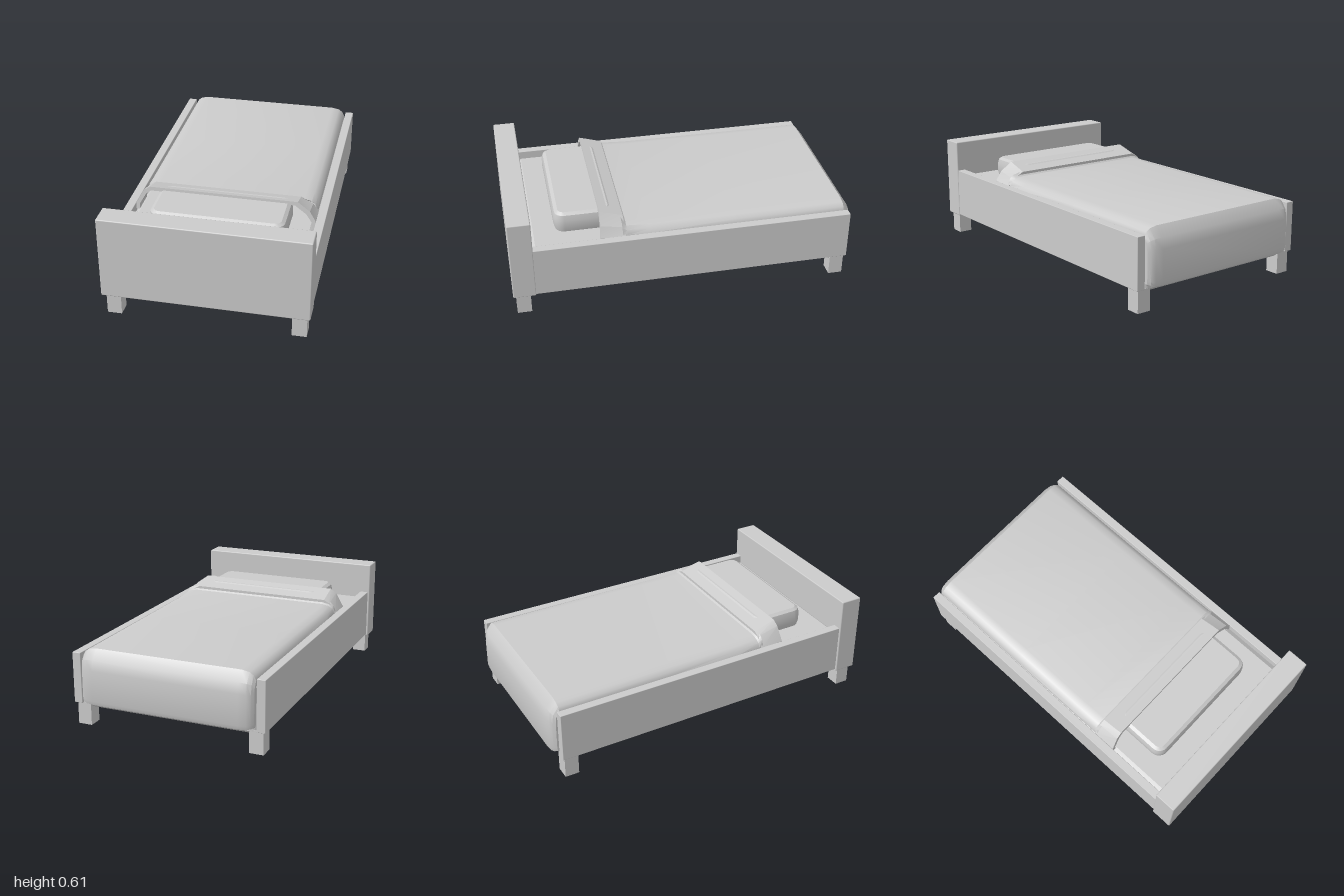
import * as THREE from 'three';
import { toCreasedNormals } from 'three/addons/utils/BufferGeometryUtils.js';
import { RoundedBoxGeometry } from 'three/addons/geometries/RoundedBoxGeometry.js';

const material = new THREE.MeshStandardMaterial({ color: 0xcccccc });
const clothMaterial = new THREE.MeshStandardMaterial({ color: 0xcccccc, side: THREE.DoubleSide });

function add(group, name, geometry, mat = material) {
  const mesh = new THREE.Mesh(geometry, mat);
  mesh.name = name;
  group.add(mesh);
  return mesh;
}

// Box given by its limits, with slightly rounded edges
function board(x0, x1, y0, y1, z0, z1, radius) {
  const g = new RoundedBoxGeometry(x1 - x0, y1 - y0, z1 - z0, 1, radius);
  return g.translate((x0 + x1) / 2, (y0 + y1) / 2, (z0 + z1) / 2);
}

// Cushion-like slab: rounded plan outline with chamfered top and bottom
function slab(halfWidth, z0, z1, y0, y1, corner, bevelSize, bevelThickness, segments) {
  const w = halfWidth - bevelSize, h = (z1 - z0) / 2 - bevelSize, r = corner;
  const s = new THREE.Shape();
  s.absarc(w - r, h - r, r, 0, Math.PI / 2);
  s.absarc(-w + r, h - r, r, Math.PI / 2, Math.PI);
  s.absarc(-w + r, -h + r, r, Math.PI, Math.PI * 1.5);
  s.absarc(w - r, -h + r, r, Math.PI * 1.5, Math.PI * 2);
  const g = new THREE.ExtrudeGeometry(s, {
    depth: y1 - y0 - 2 * bevelThickness, bevelEnabled: true,
    bevelSize, bevelThickness, bevelSegments: segments, curveSegments: 3,
  });
  g.rotateX(-Math.PI / 2).translate(0, y0 + bevelThickness, (z0 + z1) / 2);
  return toCreasedNormals(g, 0.5);
}

// Sheet lofted over the mattress and down the foot end, with rolled side edges
function blanketGeometry() {
  // each row: z, y on the crown, then z, y at the side hem
  const rows = [
    [0.36, 0.487, 0.36, 0.39], [0.335, 0.466, 0.335, 0.385], [0.2, 0.458, 0.2, 0.38],
    [-0.3, 0.457, -0.3, 0.375], [-0.942, 0.455, -0.94, 0.375], [-0.985, 0.4, -0.945, 0.36],
    [-0.997, 0.34, -0.945, 0.32], [-1, 0.165, -0.945, 0.18], [-0.992, 0.142, -0.945, 0.165],
    [-0.975, 0.14, -0.945, 0.16], [-0.945, 0.16, -0.94, 0.165],
  ];
  // across: x and how far towards the hem
  const half = [[0.511, 1], [0.511, 0.6], [0.498, 0.3], [0.475, 0.1], [0.43, 0]];
  const across = [...half.map(([x, t]) => [-x, t]), ...half.slice().reverse()];
  const positions = [], index = [], n = across.length;
  rows.forEach(([z, y, hz, hy], i) => across.forEach(([x, t], j) => {
    positions.push(x, y + (hy - y) * t, z + (hz - z) * t);
    if (i && j) {
      const d = i * n + j, c = d - 1, b = d - n, a = b - 1;
      index.push(a, b, c, b, d, c);
    }
  }));
  const g = new THREE.BufferGeometry();
  g.setAttribute('position', new THREE.Float32BufferAttribute(positions, 3));
  g.setIndex(index);
  return toCreasedNormals(g, 0.5);
}

// Turned-back band: an arch over the pillow that rises towards the head
function foldGeometry() {
  const outline = [
    // outside, left end to right end
    [0.52, 0.385], [0.52, 0.415], [0.485, 0.46], [0.415, 0.5],
    [-0.44, 0.5], [-0.475, 0.48], [-0.52, 0.415], [-0.52, 0.385],
    // underside, back again
    [-0.5, 0.385], [-0.5, 0.41], [-0.46, 0.465], [-0.43, 0.482],
    [0.4, 0.482], [0.465, 0.445], [0.5, 0.405], [0.5, 0.385],
  ];
  const s = new THREE.Shape(outline.map(([x, y]) => new THREE.Vector2(x, y)));
  const g = new THREE.ExtrudeGeometry(s, { depth: 0.14, bevelEnabled: false });
  const p = g.attributes.position;
  for (let i = 0; i < p.count; i++) {
    const y = p.getY(i), k = (y - 0.385) / 0.115, t = p.getZ(i) / 0.14;
    // lift the crown towards the head and lean the open edge back
    p.setY(i, y + k * (-0.01 + 0.04 * t));
    p.setZ(i, 0.345 + p.getZ(i) + 0.006 * t - 0.014 * k * t);
  }
  return toCreasedNormals(g, 0.4);
}

export function createModel() {
  const bed = new THREE.Group();
  bed.name = 'bed';

  // Frame
  add(bed, 'headboard', board(-0.579, 0.579, 0.121, 0.605, 0.87, 1, 0.006));
  const body = new THREE.Group();
  body.name = 'body';
  body.position.x = 0.004;
  bed.add(body);
  for (const [side, label] of [[1, 'left'], [-1, 'right']]) {
    const rail = board(-0.025, 0.025, 0.128, 0.422, -0.961, 0.875, 0.003);
    add(body, label + 'Rail', rail).position.x = side * 0.546;
    for (const [z, end] of [[0.942, 'Head'], [-0.907, 'Foot']]) {
      const leg = add(body, label + end + 'Leg', new THREE.BoxGeometry(0.082, 0.13, 0.082));
      leg.position.set(side * 0.516, 0.065, z);
    }
  }

  // Mattress and bedding
  add(body, 'mattress', slab(0.522, -0.95, 0.88, 0.103, 0.39, 0.005, 0.03, 0.022, 1));
  add(body, 'pillow', slab(0.385, 0.39, 0.73, 0.385, 0.515, 0.035, 0.027, 0.042, 2));
  add(body, 'blanket', blanketGeometry(), clothMaterial);
  add(body, 'blanketFold', foldGeometry(), clothMaterial);
  return bed;
}
